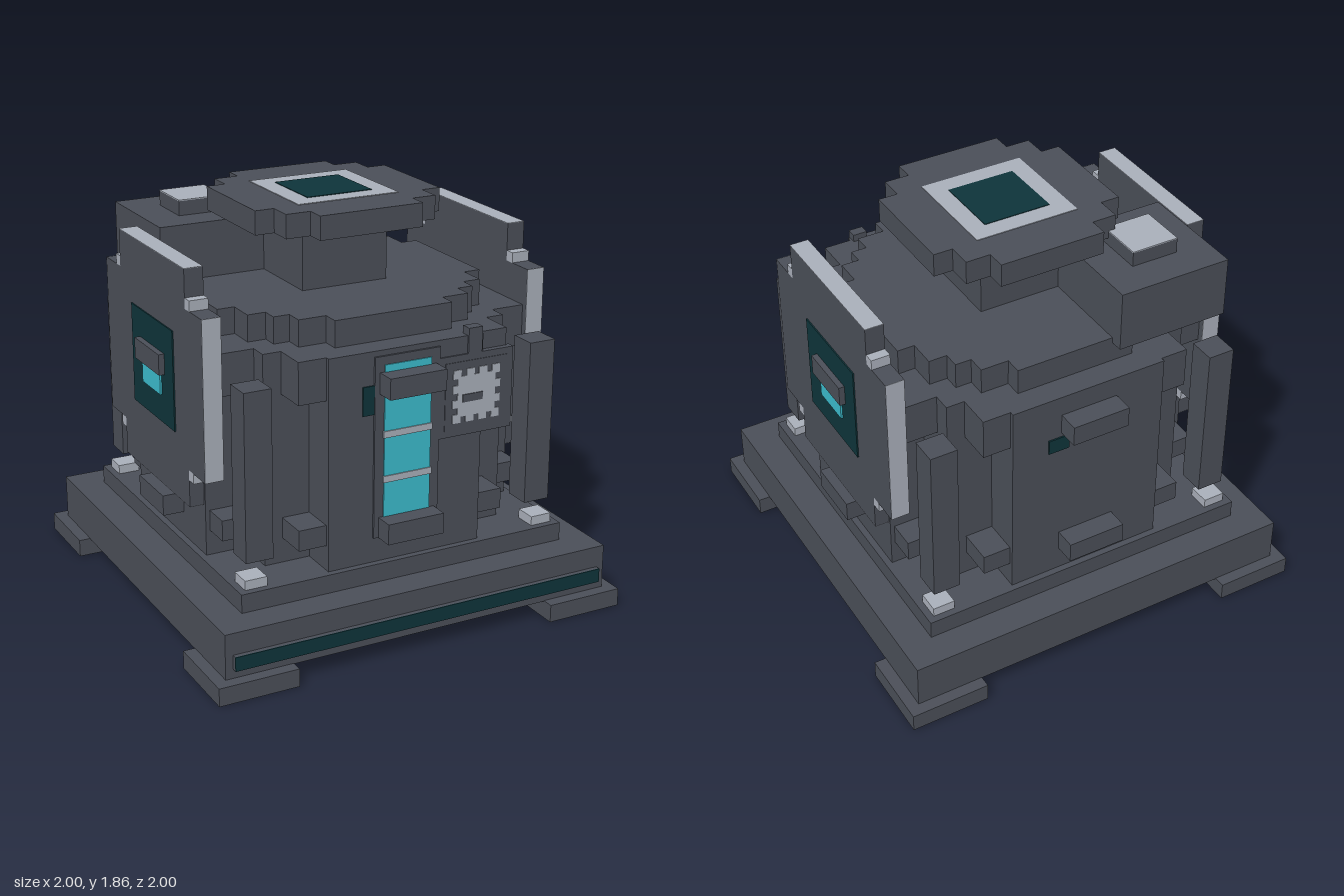
import * as THREE from 'three';

const mat = (name, hex) => {
  const m = new THREE.MeshStandardMaterial({ color: hex });
  m.name = name;
  return m;
};

export function createModel() {
  const dark = mat('dark grey', 0x4b4f58);
  const light = mat('light grey', 0xaab0bb);
  const teal = mat('deep teal', 0x0e343a);
  const cyan = mat('bright cyan', 0x3cbccd);
  const model = new THREE.Group();
  model.name = 'blockMachine';

  const add = (parent, name, geo, material) => {
    const mesh = new THREE.Mesh(geo, material);
    mesh.name = name;
    parent.add(mesh);
    return mesh;
  };
  // Box given by its limits on each axis
  const box = (name, m, x0, x1, y0, y1, z0, z1, parent = model) =>
    add(parent, name, new THREE.BoxGeometry(x1 - x0, y1 - y0, z1 - z0), m)
      .position.set((x0 + x1) / 2, (y0 + y1) / 2, (z0 + z1) / 2);

  // Stair-stepped round outline from half extents, narrowest and tallest first
  const stepped = (steps, depth) => {
    const quarter = [];
    steps.forEach(([w, h], i) => {
      if (i > 0) quarter.push([steps[i - 1][0], h]);
      quarter.push([w, h]);
    });
    const mirrored = quarter.slice().reverse();
    const pts = [
      ...quarter,
      ...mirrored.map(([x, y]) => [x, -y]),
      ...quarter.map(([x, y]) => [-x, -y]),
      ...mirrored.map(([x, y]) => [-x, y]),
    ].map(([x, y]) => new THREE.Vector2(x, y));
    return new THREE.ExtrudeGeometry(new THREE.Shape(pts), { depth, bevelEnabled: false });
  };
  const tier = (name, steps, y0, y1) =>
    add(model, name, stepped(steps, y1 - y0).rotateX(-Math.PI / 2), dark).position.y = y0;

  // Base
  box('base', dark, -0.945, 0.945, 0.08, 0.29, -0.945, 0.945);
  box('baseStep', dark, -0.8, 0.8, 0.29, 0.375, -0.8, 0.8);
  box('baseStrip', dark, -0.91, 0.91, 0.125, 0.19, 0.945, 0.965);
  box('baseStripFace', teal, -0.91, 0.91, 0.125, 0.19, 0.965, 0.97);

  // Feet, corner pads and corner pillars
  for (const sx of [-1, 1]) for (const sz of [-1, 1]) {
    const corner = (name, m, a, b, y0, y1) =>
      box(name, m, Math.min(sx * a, sx * b), Math.max(sx * a, sx * b), y0, y1,
        Math.min(sz * a, sz * b), Math.max(sz * a, sz * b));
    corner('foot', dark, 0.63, 1, 0, 0.083);
    corner('cornerPad', light, 0.665, 0.768, 0.375, 0.418);
    corner('cornerPillar', dark, 0.63, 0.757, 0.49, 1.25);
  }

  // Body and roof tiers
  tier('body', [[0.375, 0.77], [0.59, 0.59], [0.77, 0.375]], 0.375, 1.34);
  tier('roofTier', [[0.285, 0.655], [0.415, 0.575], [0.49, 0.49], [0.575, 0.415], [0.655, 0.285]], 1.34, 1.46);
  box('neck', dark, -0.21, 0.21, 1.46, 1.75, -0.21, 0.21);
  tier('topDisc', [[0.25, 0.455], [0.365, 0.365], [0.455, 0.25]], 1.75, 1.858);
  box('topFrame', light, -0.247, 0.247, 1.858, 1.861, -0.247, 0.247);
  box('topWindow', teal, -0.16, 0.16, 1.861, 1.864, -0.16, 0.16);

  // Roof box on the back right
  box('roofBox', dark, -0.715, -0.18, 1.435, 1.715, -0.715, -0.18);
  box('roofBoxLid', dark, -0.557, -0.333, 1.715, 1.782, -0.557, -0.333);
  box('roofBoxLidTop', light, -0.557, -0.333, 1.782, 1.787, -0.557, -0.333);

  // Blocks and brackets repeated on all four faces
  for (let i = 0; i < 4; i++) {
    const face = new THREE.Group();
    face.name = 'faceBlocks';
    face.rotation.y = i * Math.PI / 2;
    model.add(face);
    box('upperBlock', dark, -0.137, 0.137, 1.15, 1.245, 0.76, 0.87, face);
    box('lowerBlock', dark, -0.137, 0.137, 0.49, 0.585, 0.76, 0.87, face);
    for (const s of [-1, 1]) {
      const x0 = s < 0 ? -0.505 : 0.37, x1 = x0 + 0.135;
      box('upperBracket', dark, x0, x1, 1.15, 1.34, 0.58, 0.75, face);
      box('lowerBracket', dark, x0, x1, 0.49, 0.585, 0.58, 0.75, face);
    }
  }

  // Front door with glowing window
  box('doorFrame', dark, -0.16, 0.157, 0.49, 1.315, 0.76, 0.78);
  box('doorWindow', cyan, -0.115, 0.112, 0.585, 1.277, 0.78, 0.785);
  for (const y of [0.745, 0.95])
    box('windowBar', light, -0.12, 0.117, y, y + 0.03, 0.78, 0.79);
  box('doorLamp', teal, -0.215, -0.16, 1.06, 1.19, 0.77, 0.777);
  box('backLamp', teal, 0.1, 0.2, 1.06, 1.13, -0.777, -0.77);

  // Wall plaque with a plain notched plate and antenna
  box('plaque', dark, 0.155, 0.525, 0.89, 1.26, 0.74, 0.777);
  box('plaqueInset', dark, 0.185, 0.5, 0.92, 1.23, 0.777, 0.78);
  box('notchedPlate', light, 0.245, 0.435, 0.98, 1.165, 0.78, 0.784);
  for (const x of [0.242, 0.308, 0.372, 0.437]) for (const y of [0.972, 1.175])
    box('plateTab', light, x - 0.02, x + 0.02, y - 0.02, y + 0.02, 0.78, 0.784);
  for (const x of [0.24, 0.44]) for (const y of [1.04, 1.107])
    box('plateTab', light, x - 0.02, x + 0.02, y - 0.018, y + 0.018, 0.78, 0.784);
  box('plateSlot', dark, 0.27, 0.37, 1.045, 1.08, 0.784, 0.788);
  box('antenna', dark, 0.297, 0.365, 1.25, 1.375, 0.73, 0.78);

  // Side shields
  const midY = 1.1475;
  for (const s of [-1, 1]) {
    const shield = new THREE.Group();
    shield.name = s > 0 ? 'leftShield' : 'rightShield';
    shield.position.y = midY;
    shield.rotation.y = s > 0 ? 0 : Math.PI;
    model.add(shield);
    const plate = stepped([[0.363, 0.534], [0.532, 0.363]], 0.087).rotateY(Math.PI / 2);
    add(shield, 'shieldPlate', plate, dark).position.x = 0.75;
    for (const t of [-1, 1]) {
      const e = t * 0.5355, f = t * 0.5335;
      box('shieldEdge', light, 0.75, 0.837, Math.min(e, t * 0.534), Math.max(e, t * 0.534) + 0.001, -0.363, 0.363, shield);
      box('shieldEnd', light, 0.75, 0.837, -0.363, 0.363, Math.min(t * 0.532, f), Math.max(t * 0.532, f) + 0.001, shield);
      for (const u of [-1, 1]) {
        const y = t * 0.386, z = u * 0.386;
        box('shieldCorner', light, 0.75, 0.837, y - 0.024, y + 0.024, z - 0.024, z + 0.024, shield);
      }
    }
    box('shieldPanel', teal, 0.837, 0.843, 0.917 - midY, 1.375 - midY, -0.23, 0.23, shield);
    box('shieldLight', cyan, 0.843, 0.852, 1.047 - midY, 1.16 - midY, -0.1, 0.1, shield);
  }
  return model;
}
